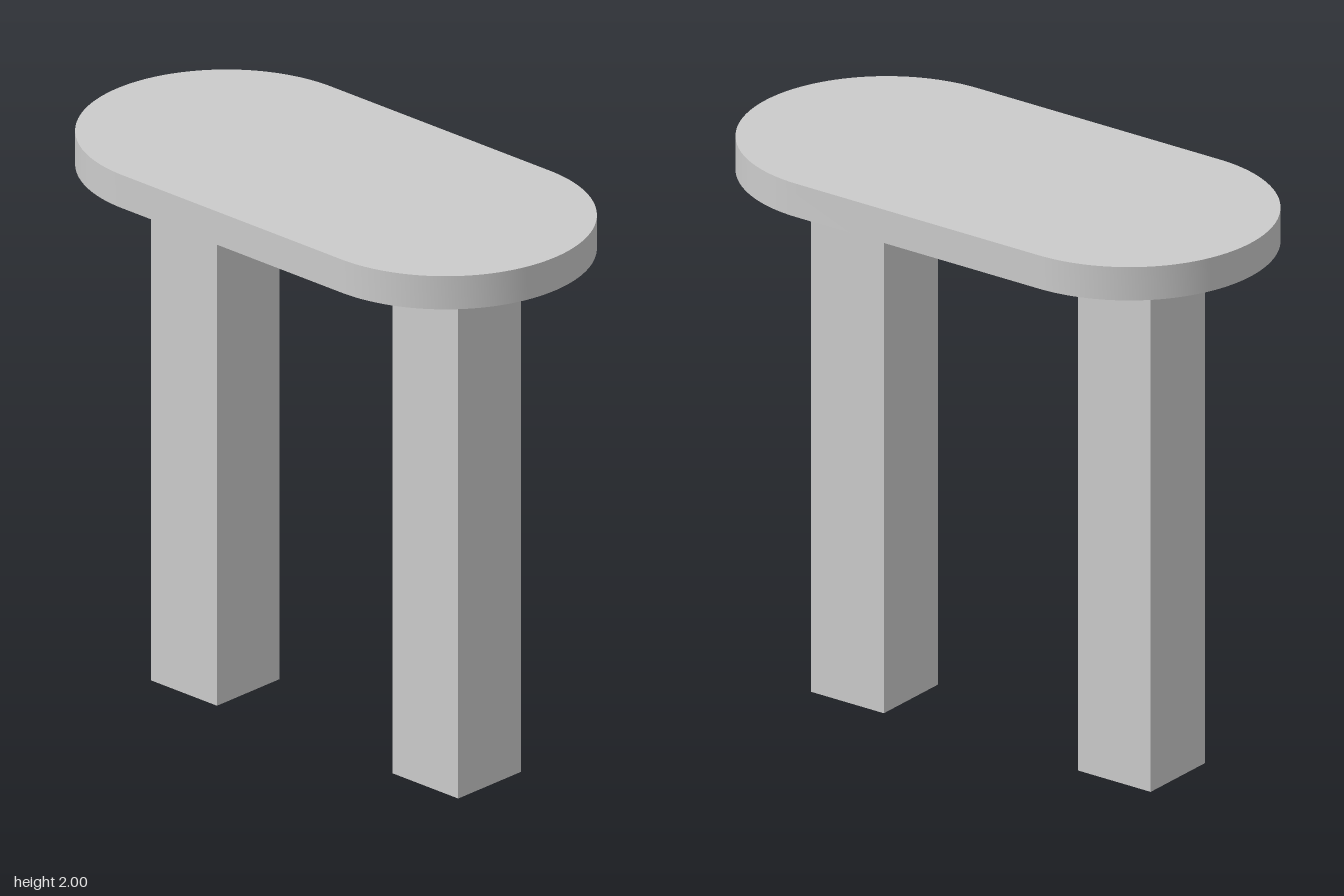
import * as THREE from 'three';
import { toCreasedNormals } from 'three/addons/utils/BufferGeometryUtils.js';

const HEIGHT = 2, TOP_THICKNESS = 0.12, END_RADIUS = 0.5, HALF_STRAIGHT = 0.5;
const LEG_WIDTH = 0.3, LEG_X = 0.55;

export function createModel() {
  const model = new THREE.Group();
  model.name = 'table';
  const material = new THREE.MeshStandardMaterial({ color: 0xcccccc });
  const legHeight = HEIGHT - TOP_THICKNESS;

  // Stadium-shaped top: two half circles joined by straight sides
  const outline = new THREE.Shape();
  outline.absarc(HALF_STRAIGHT, 0, END_RADIUS, -Math.PI / 2, Math.PI / 2, false);
  outline.absarc(-HALF_STRAIGHT, 0, END_RADIUS, Math.PI / 2, Math.PI * 1.5, false);
  outline.closePath();
  const slab = new THREE.ExtrudeGeometry(outline, {
    depth: TOP_THICKNESS, bevelEnabled: false, curveSegments: 48,
  });
  slab.rotateX(-Math.PI / 2);
  const top = new THREE.Mesh(toCreasedNormals(slab, Math.PI / 6), material);
  top.name = 'tableTop';
  top.position.y = legHeight;
  model.add(top);

  // Two square legs
  const legGeometry = new THREE.BoxGeometry(LEG_WIDTH, legHeight, LEG_WIDTH);
  for (const [name, side] of [['leftLeg', 1], ['rightLeg', -1]]) {
    const leg = new THREE.Mesh(legGeometry, material);
    leg.name = name;
    leg.position.set(side * LEG_X, legHeight / 2, 0);
    model.add(leg);
  }

  return model;
}
